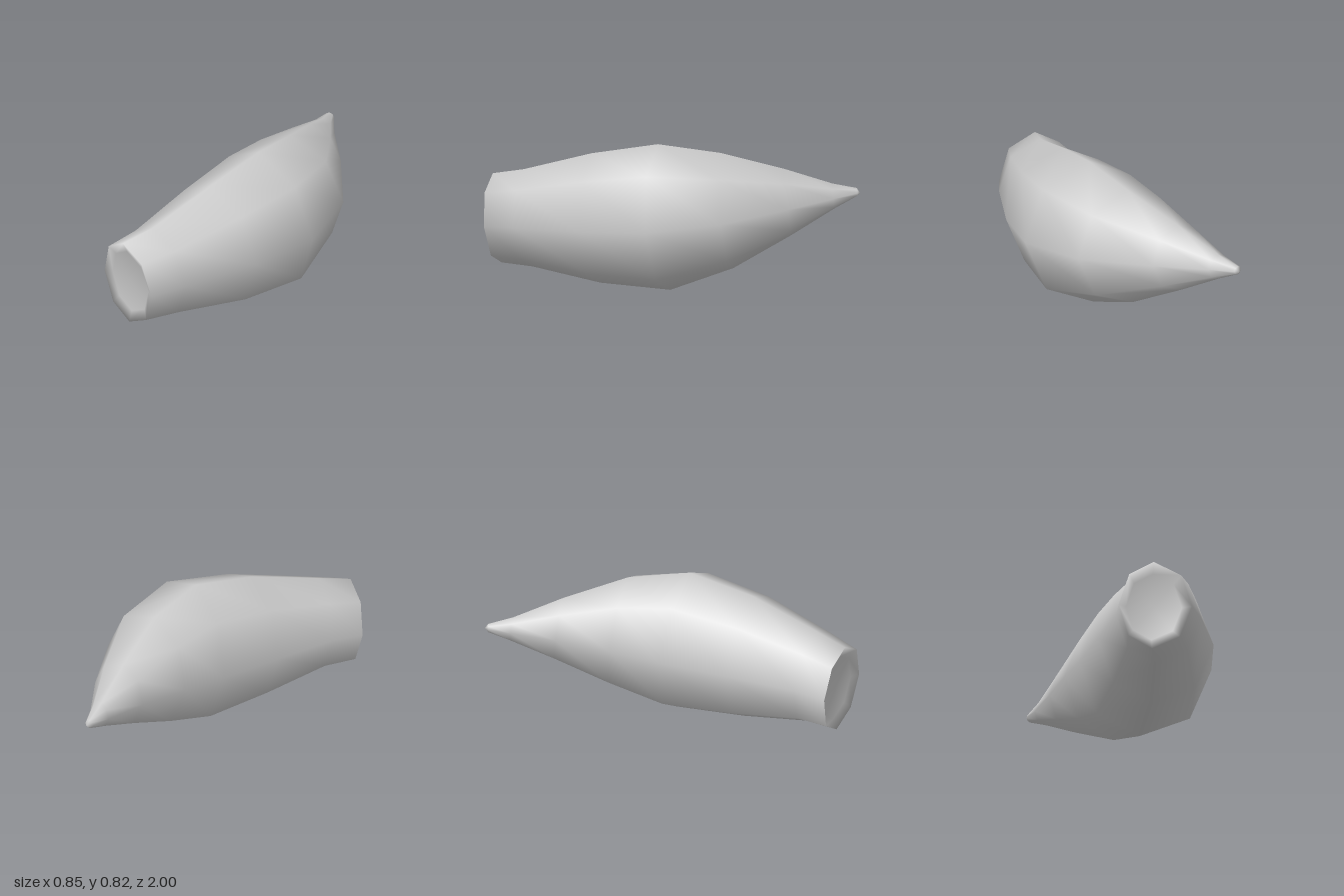
import * as THREE from 'three';

const SIDES = 8;

// Cross-sections from the blunt front to the pointed back:
// [z, left x, right x, bottom y, top y, z lean across x, z lean across y]
const SECTIONS = [
  [0.965, -0.27, 0.13, 0.075, 0.575, 0.025, 0.025],
  [0.78, -0.25, 0.215, 0.075, 0.62, 0.025, 0.025],
  [0.385, -0.28, 0.36, 0.018, 0.745, 0.015, 0.025],
  [0.0, -0.31, 0.42, 0.003, 0.82, 0.015, 0.035],
  [-0.335, -0.34, 0.28, 0.125, 0.77, -0.04, 0.035],
  [-0.64, -0.367, -0.03, 0.29, 0.66, -0.04, 0.02],
  [-0.865, -0.4, -0.27, 0.42, 0.56, -0.015, 0.005],
  [-0.98, -0.425, -0.378, 0.48, 0.527, -0.01, 0],
];

// Eight-sided ring of a section; scale and push shape the dished front
function ring([z, xl, xr, yb, yt, leanX, leanY], scale = 1, push = 0) {
  const cx = (xl + xr) / 2 - 0.034 * (xr - xl);
  const cy = (yb + yt) / 2;
  return Array.from({ length: SIDES }, (_, j) => {
    const a = (j / SIDES) * Math.PI * 2;
    const c = Math.cos(a) * scale;
    const s = Math.sin(a) * scale;
    const rx = c > 0 ? xr - cx : cx - xl;
    return [cx + c * rx, cy + (s * (yt - yb)) / 2, z + c * leanX + s * leanY - push];
  });
}

function bodyGeometry() {
  const rings = [ring(SECTIONS[0], 0.76, 0.025), ...SECTIONS.map((s) => ring(s))];
  const points = rings.flat();
  const index = [];

  // Skin between neighbouring rings
  for (let i = 0; i < rings.length - 1; i++) {
    for (let j = 0; j < SIDES; j++) {
      const k = (j + 1) % SIDES;
      const a = i * SIDES + j, b = i * SIDES + k;
      const c = a + SIDES, d = b + SIDES;
      index.push(a, c, b, b, c, d);
    }
  }

  // Dished front and blunt back tip
  const front = points.push([-0.077, 0.325, 0.932]) - 1;
  const tip = points.push([-0.402, 0.5, -1]) - 1;
  const last = (rings.length - 1) * SIDES;
  for (let j = 0; j < SIDES; j++) {
    const k = (j + 1) % SIDES;
    index.push(front, j, k, tip, last + k, last + j);
  }

  const geometry = new THREE.BufferGeometry();
  geometry.setAttribute('position', new THREE.Float32BufferAttribute(points.flat(), 3));
  geometry.setIndex(index);
  geometry.computeVertexNormals();
  return geometry;
}

export function createModel() {
  const group = new THREE.Group();
  group.name = 'curvedHorn';
  const body = new THREE.Mesh(bodyGeometry(), new THREE.MeshStandardMaterial({ color: 0xcccccc }));
  body.name = 'hornBody';
  group.add(body);
  return group;
}
